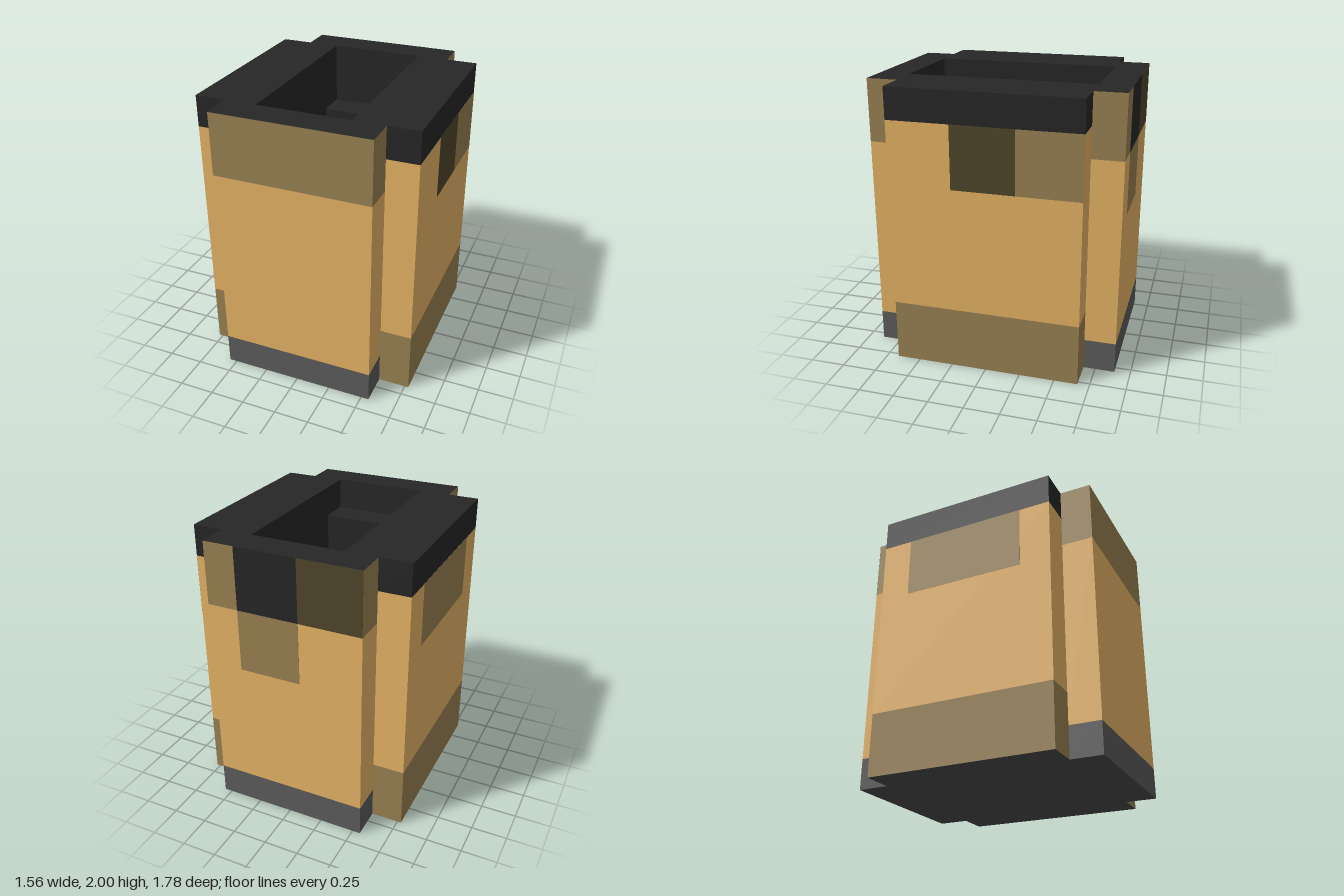
import * as THREE from 'three';

const U = 2 / 9; // grid cell
const mat = (name, color) => new THREE.MeshStandardMaterial({ name, color });

export function createModel() {
  const tan = mat('tan', 0xe7b465);
  const olive = mat('olive', 0x9a8253);
  const brown = mat('dark brown', 0x50462a);
  const grey = mat('grey', 0x5c5c5c);
  const dark = mat('charcoal', 0x272727);
  const base = mat('base grey', 0x4c4c4c);
  const model = new THREE.Group();
  model.name = 'container';

  // Block between two grid corners; material may be an array per side (+x -x +y -y +z -z)
  const block = (parent, name, material, [x0, x1], [y0, y1], [z0, z1]) => {
    const geo = new THREE.BoxGeometry((x1 - x0) * U, (y1 - y0) * U, (z1 - z0) * U);
    const mesh = new THREE.Mesh(geo, material);
    mesh.position.set((x0 + x1) / 2 * U, (y0 + y1) / 2 * U, (z0 + z1) / 2 * U);
    mesh.name = name;
    parent.add(mesh);
  };
  const group = (name) => {
    const g = new THREE.Group();
    g.name = name;
    model.add(g);
    return g;
  };
  const span = (s, a, b) => (s > 0 ? [a, b] : [-b, -a]);

  // Front and back walls: grey foot, tan body, olive collar, dark inside and top
  for (const s of [1, -1]) {
    const wall = group(s > 0 ? 'frontWall' : 'backWall');
    const sides = (m) => [m, m, dark, base, s > 0 ? m : dark, s > 0 ? dark : m];
    const z = span(s, 3, 4);
    block(wall, 'foot', sides(grey), [-2.5, 2.5], [0, 1], z);
    block(wall, 'body', sides(tan), [-2.5, 2.5], [1, 7], z);
    block(wall, 'collar', sides(olive), [-2.5, 2.5], [7, 9], z);
  }

  // Side walls: olive foot, tan body, dark rim, plus the dark inner lining
  const lined = [dark, dark, dark, base, dark, dark];
  for (const s of [1, -1]) {
    const wall = group(s > 0 ? 'leftWall' : 'rightWall');
    const sides = (m) => [m, m, dark, base, m, m];
    const x = span(s, 2.5, 3.5);
    block(wall, 'foot', sides(olive), x, [0, 2], [-3, 3]);
    block(wall, 'body', sides(tan), x, [2, 8], [-3, 3]);
    block(wall, 'rim', dark, x, [8, 9], [-3, 3]);
    block(wall, 'lining', lined, span(s, 1.5, 2.5), [0, 9], [-3, 3]);
  }

  // Floor and the steps inside the opening
  const inside = group('interior');
  block(inside, 'floor', lined, [-1.5, 1.5], [0, 1], [-3, 3]);
  block(inside, 'frontStep', dark, [-1.5, 1.5], [1, 8], [2, 3]);
  block(inside, 'backStep', dark, [-1.5, 1.5], [1, 7], [-3, -2]);
  block(inside, 'cornerStep', dark, [-1.5, -0.5], [1, 6], [-2, -1]);

  // Thin painted patches on the back and sides
  const T = 0.006;
  const patches = group('patches');
  block(patches, 'backStrapTop', dark, [-0.5, 1.5], [7, 9], [-4 - T, -4]);
  block(patches, 'backStrapEnd', olive, [-0.5, 1.5], [5, 7], [-4 - T, -4]);
  block(patches, 'backCornerPatch', brown, [-2.5, -0.5], [7, 9], [-4 - T, -4]);
  block(patches, 'leftDarkPatch', brown, [3.5, 3.5 + T], [6, 8], [-1, 1]);
  block(patches, 'leftOlivePatch', olive, [3.5, 3.5 + T], [6, 8], [-3, -1]);
  block(patches, 'rightOlivePatch', olive, [-3.5 - T, -3.5], [6, 8], [-2, 2]);

  return model;
}
